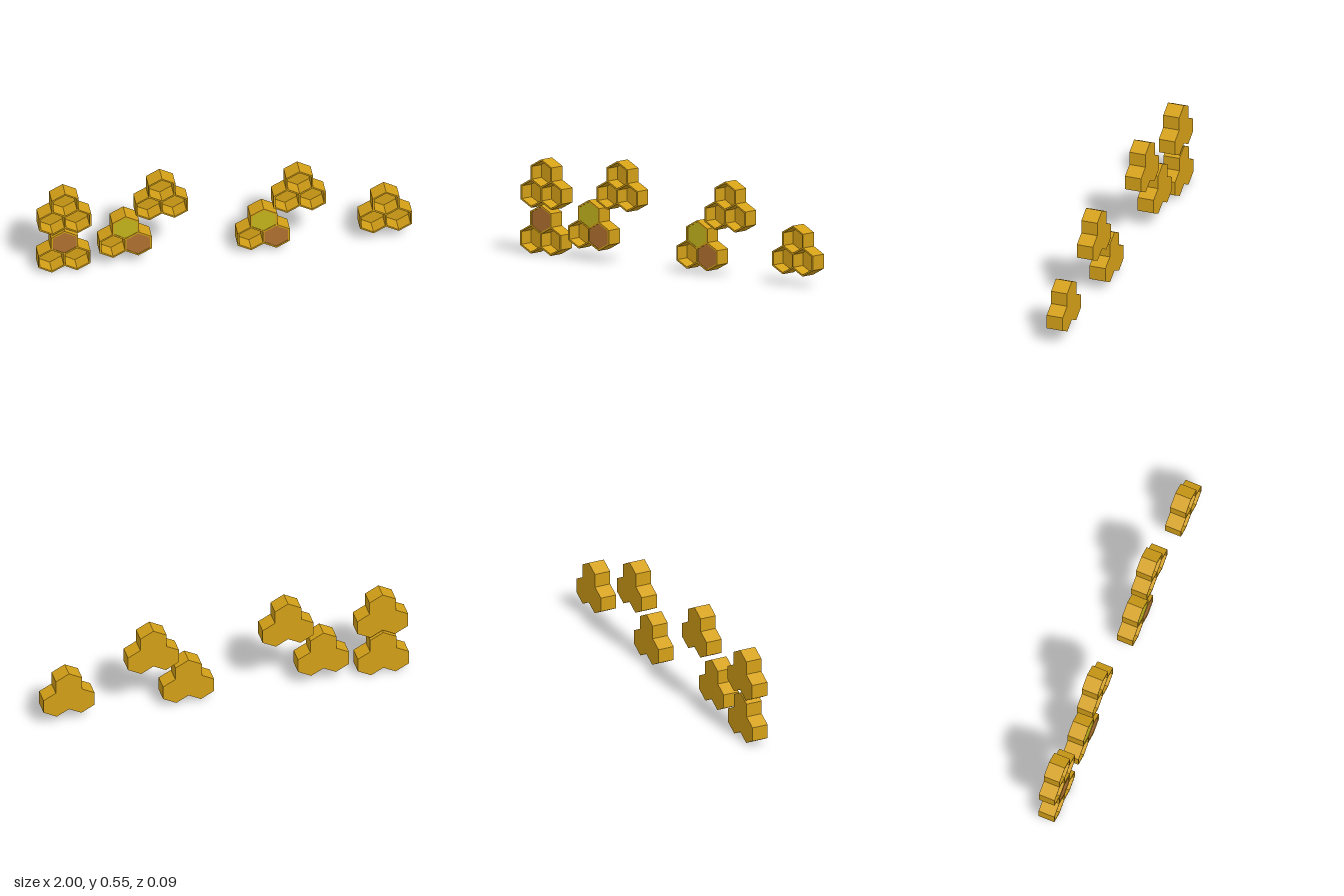
import * as THREE from 'three';

// Cell dimensions
const HALF_W = 0.072, HALF_H = 0.0777;   // outer hexagon half width and half height
const STEP_X = 0.0675, STEP_Y = 0.11;    // cell spacing, neighbours share a wall
const INNER = 0.875;                     // hollow size relative to the cell
const DEPTH = 0.09, FLOOR = 0.01, RECESS = 0.003;

const wax = new THREE.MeshStandardMaterial({ color: 0xd4a017, flatShading: true });
const brown = new THREE.MeshStandardMaterial({ color: 0xb07030, flatShading: true });
const yellow = new THREE.MeshStandardMaterial({ color: 0xc4b41c, flatShading: true });

// Pointy-topped hexagon corners
function hexPoints(scale) {
  const w = HALF_W * scale, h = HALF_H * scale;
  return [[0, h], [-w, h / 2], [-w, -h / 2], [0, -h], [w, -h / 2], [w, h / 2]]
    .map(([x, y]) => new THREE.Vector2(x, y));
}

function extrude(shape, z, depth) {
  return new THREE.ExtrudeGeometry(shape, { depth, bevelEnabled: false }).translate(0, 0, z);
}

const ring = new THREE.Shape(hexPoints(1));
ring.holes.push(new THREE.Path(hexPoints(INNER)));
const wallGeometry = extrude(ring, -DEPTH / 2, DEPTH);
const floorGeometry = extrude(new THREE.Shape(hexPoints(INNER)), -DEPTH / 2, FLOOR);
const fillGeometry = extrude(new THREE.Shape(hexPoints(INNER)), -DEPTH / 2 + FLOOR, DEPTH - FLOOR - RECESS);

function part(name, geometry, material) {
  const mesh = new THREE.Mesh(geometry, material);
  mesh.name = name;
  return mesh;
}

// One open cell, optionally filled to the rim
function makeCell(name, x, y, fill) {
  const cell = new THREE.Group();
  cell.name = name;
  cell.position.set(x, y, 0);
  cell.add(part('cellWall', wallGeometry, wax), part('cellFloor', floorGeometry, wax));
  if (fill) cell.add(part('cellFilling', fillGeometry, fill));
  return cell;
}

// Three cells: one above two
function makeCluster(x, bottom, topFill, leftFill) {
  const cluster = new THREE.Group();
  cluster.name = 'honeycombCluster';
  cluster.position.set(x, bottom + HALF_H, 0);
  cluster.add(
    makeCell('topCell', 0, STEP_Y, topFill),
    makeCell('rightCell', -STEP_X, 0, null),
    makeCell('leftCell', STEP_X, 0, leftFill)
  );
  return cluster;
}

export function createModel() {
  const model = new THREE.Group();
  model.name = 'honeycomb';
  // x, bottom, filling of the top cell, filling of the lower left cell
  const clusters = [
    [-0.8605, 0, brown, null],
    [-0.857, 0.245, null, null],
    [-0.533, 0.058, yellow, brown],
    [-0.339, 0.284, null, null],
    [0.206, 0.0205, yellow, brown],
    [0.398, 0.245, null, null],
    [0.8605, 0.0543, null, null],
  ];
  for (const c of clusters) model.add(makeCluster(...c));
  return model;
}
